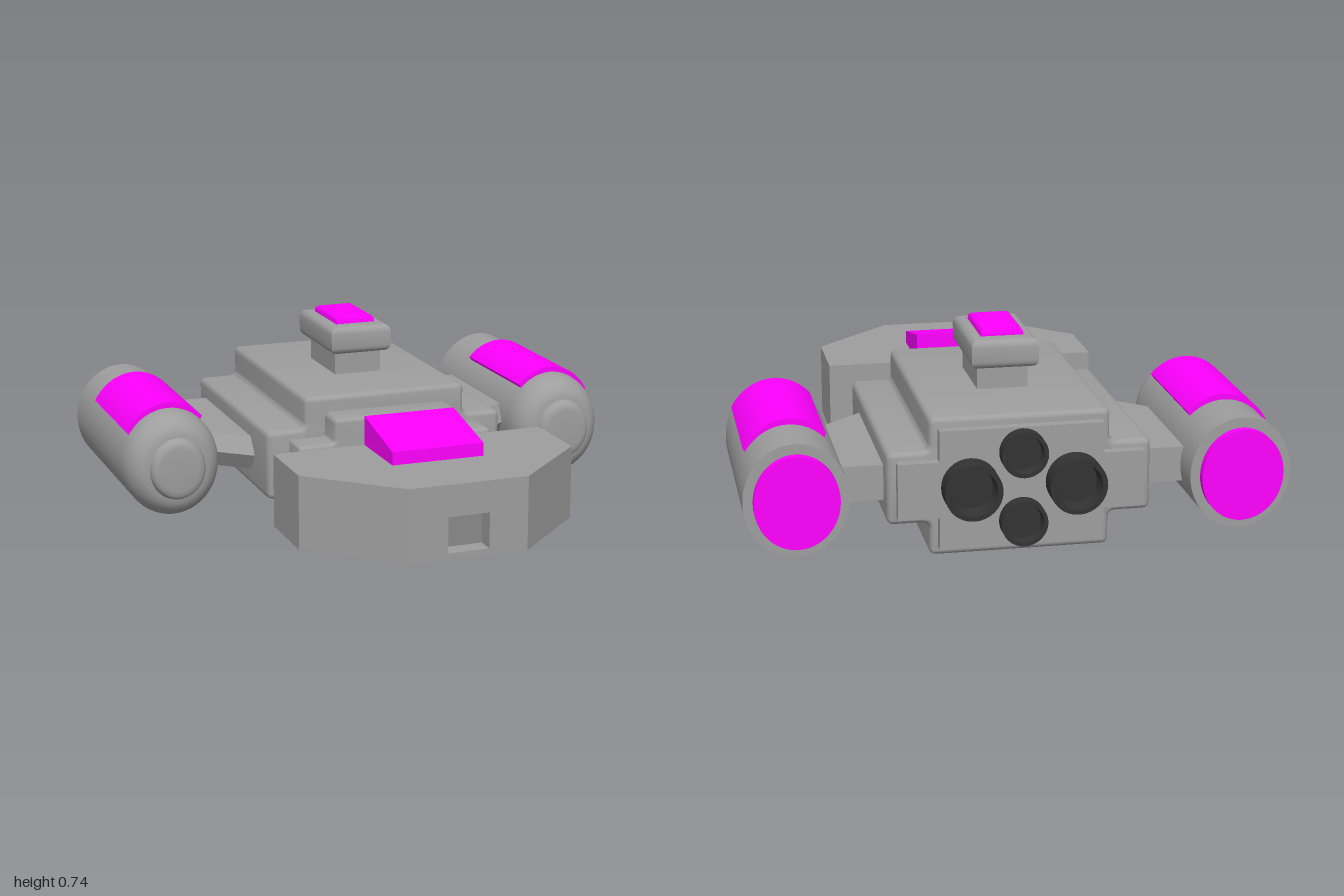
import * as THREE from 'three';
import { toCreasedNormals } from 'three/addons/utils/BufferGeometryUtils.js';

const grey = new THREE.MeshStandardMaterial({ color: 0x9e9e9e });
const deepGrey = new THREE.MeshStandardMaterial({ color: 0x8a8a8a });
const dark = new THREE.MeshStandardMaterial({ color: 0x333333 });
const magenta = new THREE.MeshStandardMaterial({ color: 0xff00ff });

function add(parent, name, geometry, material = grey) {
  const mesh = new THREE.Mesh(toCreasedNormals(geometry, 0.6), material);
  mesh.name = name;
  parent.add(mesh);
  return mesh;
}

const box = (x0, x1, y0, y1, z0, z1) =>
  new THREE.BoxGeometry(x1 - x0, y1 - y0, z1 - z0).translate((x0 + x1) / 2, (y0 + y1) / 2, (z0 + z1) / 2);

const polygon = (pts) => new THREE.Shape(pts.map(([a, b]) => new THREE.Vector2(a, b)));

// Polygon with every corner softened by r
function softPolygon(pts, r) {
  const v = pts.map(([a, b]) => new THREE.Vector2(a, b));
  const shape = new THREE.Shape();
  v.forEach((p, i) => {
    const towards = (q) => q.clone().sub(p).setLength(r).add(p);
    const a = towards(v[(i + v.length - 1) % v.length]);
    const b = towards(v[(i + 1) % v.length]);
    if (i === 0) shape.moveTo(a.x, a.y);
    else shape.lineTo(a.x, a.y);
    shape.quadraticCurveTo(p.x, p.y, b.x, b.y);
  });
  shape.closePath();
  return shape;
}

// Plus-shaped block: a tall box and a wide box in one section, run along z
function plusBlock(tallX, wideX, tallY, wideY, z0, z1, bevel) {
  const [b, t] = tallY, [wb, wt] = wideY;
  const pts = [
    [-tallX, b], [tallX, b], [tallX, wb], [wideX, wb], [wideX, wt], [tallX, wt],
    [tallX, t], [-tallX, t], [-tallX, wt], [-wideX, wt], [-wideX, wb], [-tallX, wb],
  ];
  return new THREE.ExtrudeGeometry(bevel ? softPolygon(pts, bevel) : polygon(pts), {
    depth: z1 - z0 - 2 * bevel, curveSegments: 4, bevelEnabled: bevel > 0,
    bevelSize: bevel * 0.7, bevelOffset: -bevel * 0.7, bevelThickness: bevel, bevelSegments: 3,
  }).translate(0, 0, z0 + bevel);
}

// Section given as [z, y] points, run along x
function alongX(pts, x0, x1) {
  return new THREE.ExtrudeGeometry(polygon(pts), { depth: x1 - x0, bevelEnabled: false })
    .rotateY(-Math.PI / 2).translate(x1, 0, 0);
}

// Outline given as [x, z] points, run along y, with optional rounded rims
function alongY(pts, y0, y1, bevel = 0) {
  return new THREE.ExtrudeGeometry(polygon(pts.map(([x, z]) => [x, -z])), {
    depth: y1 - y0 - 2 * bevel, bevelEnabled: bevel > 0,
    bevelSize: bevel, bevelOffset: -bevel, bevelThickness: bevel, bevelSegments: 4,
  }).rotateX(-Math.PI / 2).translate(0, y0 + bevel, 0);
}

const rectangle = (x, z0, z1) => [[-x, z0], [-x, z1], [x, z1], [x, z0]];

const lathe = (pts, segments) =>
  new THREE.LatheGeometry(pts.map(([r, y]) => new THREE.Vector2(r, y)), segments);

// Side pod with its pylon, on the +x side
function sidePod() {
  const pod = new THREE.Group();
  const cx = 0.81, cy = 0.258, rx = 0.189, ry = 0.21;

  const profile = [[0, -0.868], [1, -0.868]];
  for (let i = 0; i <= 8; i++) {
    const t = (i / 8) * Math.PI / 2;
    profile.push([0.58 + 0.42 * Math.cos(t), -0.12 + 0.125 * Math.sin(t)]);
  }
  profile.push([0.565, 0.016], [0.54, 0.028], [0.49, 0.036], [0.4, 0.038], [0, 0.038]);
  add(pod, 'podBody', lathe(profile, 48).rotateX(Math.PI / 2).scale(rx, ry, 1).translate(cx, cy, 0));

  // Rear disc
  add(pod, 'podRearDisc', new THREE.CylinderGeometry(1, 1, 0.06, 48)
    .rotateX(Math.PI / 2).scale(0.153, 0.172, 1).translate(cx, cy, -0.868), magenta);

  // Curved cover, tilted slightly outwards
  const from = THREE.MathUtils.degToRad(33), to = THREE.MathUtils.degToRad(134);
  const cover = new THREE.Shape();
  cover.absellipse(cx, cy, 0.196, 0.231, from, to, false);
  cover.absellipse(cx, cy, 0.175, 0.195, to, from, true);
  cover.closePath();
  add(pod, 'podCover', new THREE.ExtrudeGeometry(cover, { depth: 0.52, bevelEnabled: false, curveSegments: 20 })
    .translate(0, 0, -0.64), magenta);

  // Pylon with a pointed leading edge swept towards the pod
  const pylon = alongX([[-0.735, 0.194], [-0.22, 0.194], [-0.17, 0.26], [-0.22, 0.326], [-0.735, 0.326]], 0.44, 0.66);
  const p = pylon.attributes.position;
  for (let i = 0; i < p.count; i++) {
    if (p.getZ(i) > -0.5) p.setZ(i, p.getZ(i) + (0.62 - p.getX(i)) * 0.85);
  }
  add(pod, 'pylon', pylon);
  return pod;
}

export function createModel() {
  const model = new THREE.Group();
  model.name = 'spacecraft';

  // Hull
  add(model, 'hull', plusBlock(0.33, 0.483, [0, 0.517], [0.125, 0.395], -0.825, 0.11, 0.025));
  add(model, 'hullFront', plusBlock(0.25, 0.395, [0.065, 0.455], [0.16, 0.36], 0.06, 0.23, 0.02));
  add(model, 'hullBack', plusBlock(0.3, 0.45, [0.035, 0.48], [0.155, 0.365], -0.862, -0.79, 0));

  // Neck: two slabs with a narrow groove between them
  add(model, 'neckLower', box(-0.165, 0.165, 0.145, 0.238, 0.2, 0.37));
  add(model, 'neckUpper', box(-0.165, 0.165, 0.254, 0.345, 0.2, 0.37));
  add(model, 'neckCore', box(-0.14, 0.14, 0.225, 0.265, 0.2, 0.37), dark);

  // Head, in layers so the middle one holds the front recess
  const outline = [[-0.54, 0.36], [-0.54, 0.65], [-0.23, 0.943]];
  const mirrored = outline.map(([x, z]) => [-x, z]).reverse();
  const notch = [[-0.08, 0.943], [-0.08, 0.87], [0.08, 0.87], [0.08, 0.943]];
  const head = new THREE.Group();
  head.name = 'head';
  model.add(head);
  add(head, 'headBottom', alongY([...outline, ...mirrored], 0.105, 0.13));
  add(head, 'headMiddle', alongY([...outline, ...notch, ...mirrored], 0.13, 0.265));
  add(head, 'headTop', alongY([...outline, ...mirrored], 0.265, 0.385));
  add(head, 'recessPanel', box(-0.08, 0.08, 0.13, 0.265, 0.86, 0.874), deepGrey);
  add(head, 'headWedge', alongX([[0.36, 0.375], [0.65, 0.375], [0.65, 0.435], [0.36, 0.497]], -0.18, 0.18), magenta);

  // Turret
  add(model, 'turretNeck', box(-0.095, 0.095, 0.5, 0.62, -0.5, -0.205));
  add(model, 'turretBlock', alongY(rectangle(0.125, -0.555, -0.16), 0.605, 0.715, 0.028));
  add(model, 'turretCap', alongY(rectangle(0.08, -0.49, -0.23), 0.68, 0.743, 0.022), magenta);

  // Hollow rear nozzles: [x, y, radius, length]
  const nozzles = [
    [-0.19, 0.27, 0.105, 0.081], [0.19, 0.27, 0.105, 0.081],
    [0, 0.39, 0.085, 0.052], [0, 0.132, 0.085, 0.052],
  ];
  for (const [x, y, r, h] of nozzles) {
    const profile = [[r, -0.01], [r, h], [0.83 * r, h], [0.76 * r, 0.015], [0, 0.015]];
    add(model, 'nozzle', lathe(profile, 32).rotateX(-Math.PI / 2).translate(x, y, -0.862), dark);
  }

  // Side pods
  for (const side of [1, -1]) {
    const pod = sidePod();
    pod.name = side > 0 ? 'leftPod' : 'rightPod';
    pod.scale.x = side;
    model.add(pod);
  }
  return model;
}
